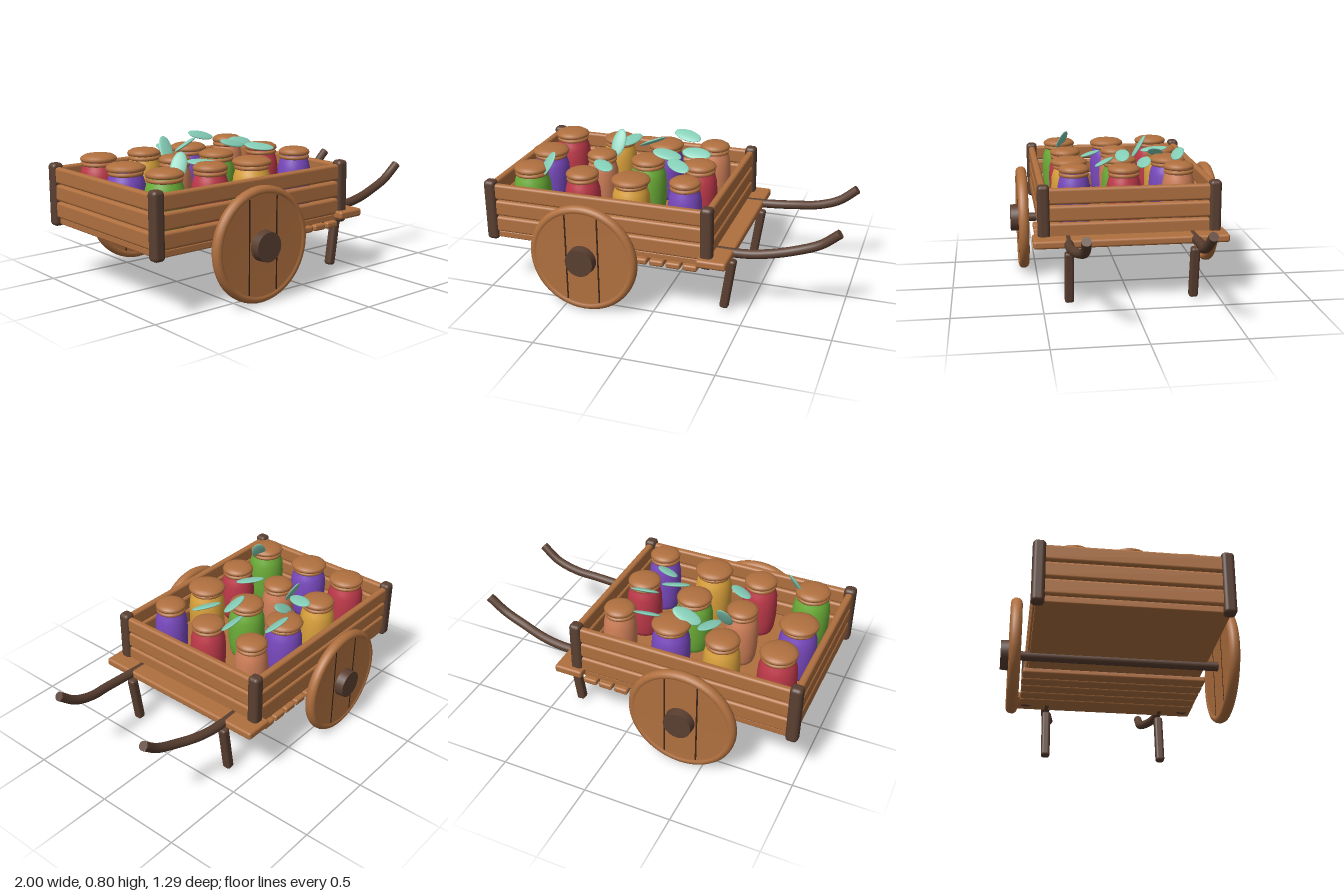
import * as THREE from 'three';
import { RoundedBoxGeometry } from 'three/addons/geometries/RoundedBoxGeometry.js';

const mat = (color) => new THREE.MeshStandardMaterial({ color });
const wood = mat(0xb0703f), dark = mat(0x5a3f31), groove = mat(0x3a2418), leafMat = mat(0x84cdb6);
const violet = mat(0x7a4ac0), red = mat(0xc03a4a), green = mat(0x6cae38), yellow = mat(0xdba23c), clay = mat(0xcf7f58);
const V = (x, y, z) => new THREE.Vector3(x, y, z);

export function createModel() {
  const root = new THREE.Group();

  const add = (name, geo, material, x = 0, y = 0, z = 0, parent = root) => {
    const m = new THREE.Mesh(geo, material);
    m.name = name;
    m.position.set(x, y, z);
    parent.add(m);
    return m;
  };
  const plank = (name, w, h, d, material, x, y, z, r = 0.015) =>
    add(name, new RoundedBoxGeometry(w, h, d, 3, r), material, x, y, z);
  const lathe = (pts, seg = 32) =>
    new THREE.LatheGeometry(pts.map(([r, y]) => new THREE.Vector2(r, y)), seg);

  // Bed: floor, cross slats and front lip
  plank('floor', 1.27, 0.04, 0.98, wood, -0.333, 0.35, 0, 0.008);
  for (let i = 0; i < 5; i++) plank('slat', 0.083, 0.036, 1.04, wood, -0.168 + i * 0.0955, 0.319, 0, 0.012);
  plank('frontLip', 0.167, 0.046, 1.09, wood, 0.337, 0.366, 0, 0.014);

  // Walls: three planks on each side, and corner posts
  for (let i = 0; i < 3; i++) {
    const y = 0.414 + i * 0.0975;
    for (const s of [-1, 1]) plank('sidePlank', 1.27, 0.091, 0.04, wood, -0.333, y, s * 0.48);
    for (const x of [-0.965, 0.3]) plank('endPlank', 0.04, 0.091, 0.96, wood, x, y, 0);
  }
  for (const x of [-0.965, 0.3])
    for (const s of [-1, 1]) plank('cornerPost', 0.068, 0.357, 0.068, dark, x, 0.497, s * 0.48, 0.022);

  // Wheels on an axle; the rim stands proud of the plank disc
  const wheelProfile = [[0, -0.022], [0.272, -0.022], [0.278, -0.028], [0.29, -0.031], [0.304, -0.025],
    [0.312, -0.012], [0.313, 0], [0.312, 0.012], [0.304, 0.025], [0.29, 0.031], [0.278, 0.028], [0.272, 0.022], [0, 0.022]];
  for (const s of [-1, 1]) {
    const wheel = new THREE.Group();
    wheel.name = 'wheel';
    wheel.position.set(-0.377, 0.32, s * 0.574);
    root.add(wheel);
    add('wheelDisc', lathe(wheelProfile, 64), wood, 0, 0, 0, wheel).rotation.x = Math.PI / 2;
    for (const x of [-0.094, 0.094])
      add('wheelGroove', new THREE.BoxGeometry(0.009, 0.51, 0.046), groove, x, 0, 0, wheel);
    const hub = add('hub', new THREE.CylinderGeometry(0.08, 0.084, 0.06, 32), dark, 0, 0, s * 0.043, wheel);
    hub.rotation.x = s * Math.PI / 2;
  }
  add('axle', new THREE.CylinderGeometry(0.026, 0.026, 1.14, 20), dark, -0.377, 0.32, 0).rotation.x = Math.PI / 2;

  // Curved handles and slanted legs
  for (const s of [-1, 1]) {
    const path = new THREE.CatmullRomCurve3([V(0.21, 0.37, s * 0.345), V(0.36, 0.366, s * 0.35), V(0.5, 0.372, s * 0.352),
      V(0.62, 0.388, s * 0.342), V(0.75, 0.415, s * 0.318), V(0.88, 0.465, s * 0.309), V(0.98, 0.545, s * 0.313)]);
    add('handle', new THREE.TubeGeometry(path, 40, 0.026, 14), dark);
    for (const t of [0, 1]) {
      const p = path.getPoint(t);
      const cap = add('handleEnd', new THREE.CircleGeometry(0.026, 14), dark, p.x, p.y, p.z);
      cap.lookAt(p.clone().addScaledVector(path.getTangent(t), t ? 1 : -1));
    }
    plank('leg', 0.05, 0.305, 0.052, dark, 0.388, 0.172, s * 0.35, 0.016).rotation.z = -0.145;
  }

  // Jars: x, z, lid radius, lid top, colour
  const jars = [
    [-0.79, 0.31, 0.1, 0.735, green], [-0.485, 0.295, 0.094, 0.73, red],
    [-0.195, 0.295, 0.11, 0.727, yellow], [0.12, 0.295, 0.088, 0.748, violet],
    [-0.815, -0.005, 0.108, 0.725, violet], [-0.49, -0.015, 0.088, 0.73, clay],
    [-0.2, -0.01, 0.1, 0.73, green], [0.12, 0.01, 0.094, 0.74, red],
    [-0.8, -0.295, 0.102, 0.735, red], [-0.49, -0.31, 0.095, 0.73, yellow],
    [-0.185, -0.295, 0.108, 0.73, violet], [0.12, -0.305, 0.088, 0.748, clay],
  ];
  for (const [x, z, r, top, color] of jars) {
    const jar = new THREE.Group();
    jar.name = 'jar';
    jar.position.set(x, 0.365, z);
    root.add(jar);
    const h = top - 0.365;
    const b = Math.min(r, 0.1);
    add('jarBody', lathe([[0, 0], [b * 0.85, 0], [b * 0.97, 0.03], [b * 1.06, 0.1], [b * 1.08, h * 0.52],
      [b * 1.04, h * 0.68], [b * 0.95, h - 0.085], [b * 0.85, h - 0.06], [b * 0.78, h - 0.03]]), color, 0, 0, 0, jar);
    add('jarLid', lathe([[0, h - 0.045], [r * 0.75, h - 0.045], [r * 0.95, h - 0.04], [r, h - 0.03],
      [r * 0.95, h - 0.019], [r * 0.75, h - 0.007], [r * 0.4, h - 0.001], [0, h]]), wood, 0, 0, 0, jar);
    const band = add('jarBand', new THREE.TorusGeometry(b * 0.85, 0.011, 8, 32), wood, 0, h - 0.056, 0, jar);
    band.rotation.x = Math.PI / 2;
  }

  // Leaves: centre, direction of length, face normal
  const leafGeo = new THREE.SphereGeometry(1, 20, 12).scale(0.086, 0.01, 0.043);
  const leaves = [
    [V(-0.39, 0.725, -0.25), V(0.05, 0.02, -0.14), V(0.1, 1, 0.2)],
    [V(-0.44, 0.73, -0.16), V(0.02, 0.155, -0.09), V(0, 0.5, 0.86)],
    [V(-0.25, 0.733, -0.235), V(0.15, 0.06, -0.02), V(-0.3, 1, -0.4)],
    [V(-0.06, 0.757, -0.335), V(0.16, -0.03, 0.02), V(0.2, 1, 0.6)],
    [V(0.06, 0.735, -0.115), V(0.17, -0.01, -0.01), V(0.1, 1, 0.6)],
    [V(-0.085, 0.75, -0.01), V(0.165, -0.03, -0.01), V(0.2, 1, 0.4)],
    [V(0.02, 0.736, 0.11), V(0.13, -0.02, 0.09), V(-0.1, 1, 0.35)],
    [V(-0.42, 0.7, 0.145), V(0.12, -0.01, 0.1), V(0.1, 1, 0.35)],
    [V(-0.695, 0.73, 0.3), V(0.065, 0.12, -0.04), V(-0.6, 0.6, 0.7)],
  ];
  for (const [c, dir, n] of leaves) {
    const ax = dir.normalize();
    const az = V(0, 0, 0).crossVectors(ax, n).normalize();
    const ay = V(0, 0, 0).crossVectors(az, ax);
    const leaf = add('leaf', leafGeo, leafMat, c.x, c.y, c.z);
    leaf.quaternion.setFromRotationMatrix(new THREE.Matrix4().makeBasis(ax, ay, az));
  }
  return root;
}
